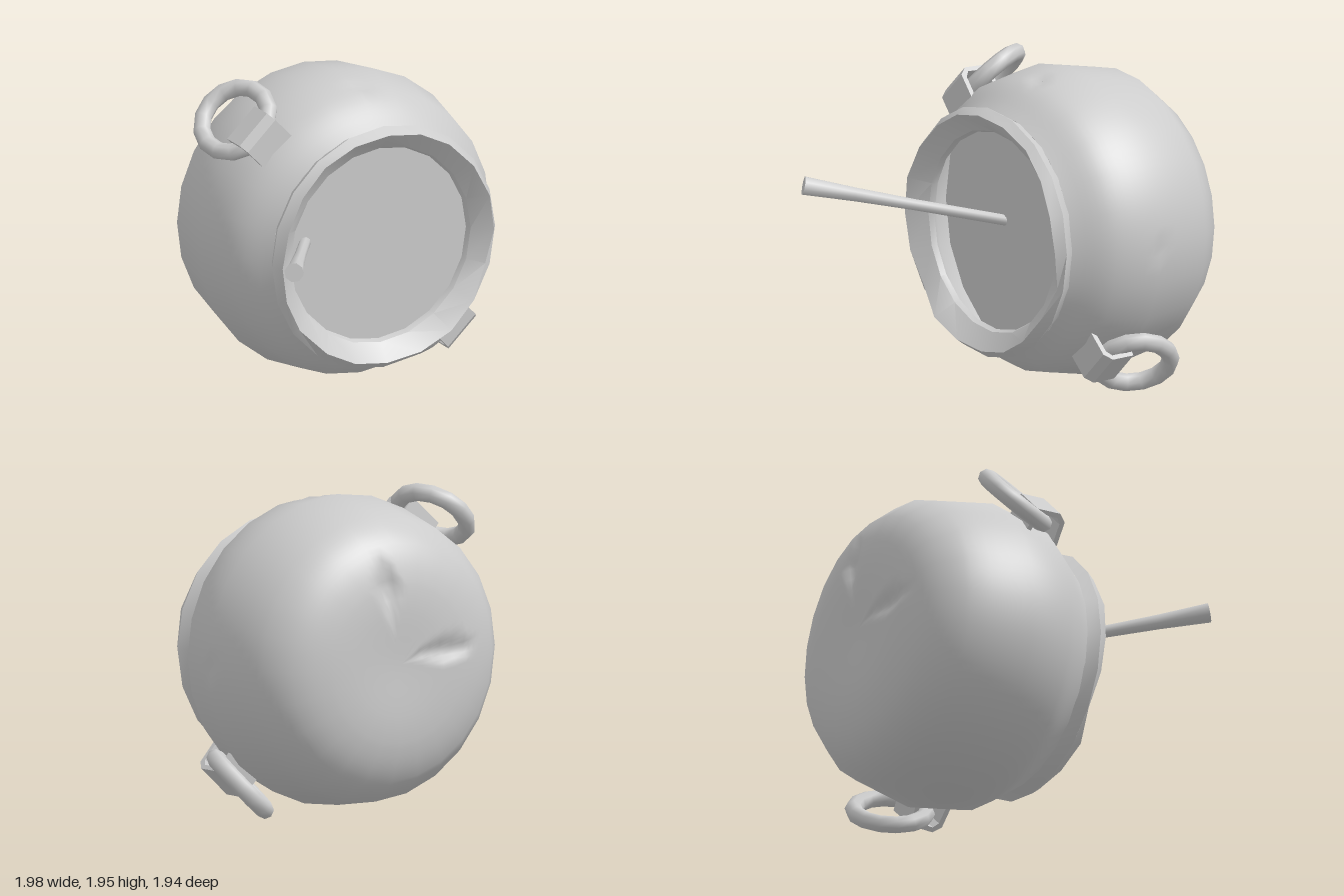
import * as THREE from 'three';
import { mergeVertices, toCreasedNormals } from 'three/addons/utils/BufferGeometryUtils.js';

const grey = new THREE.MeshStandardMaterial({ color: 0xcccccc });
const V2 = (x, y) => new THREE.Vector2(x, y);
const V3 = (x, y, z) => new THREE.Vector3(x, y, z);

function addMesh(parent, name, geometry, material = grey) {
  const mesh = new THREE.Mesh(geometry, material);
  mesh.name = name;
  parent.add(mesh);
  return mesh;
}

// Move every vertex of a geometry by a rule
function deform(geometry, rule) {
  const pos = geometry.attributes.position, p = V3(0, 0, 0);
  for (let i = 0; i < pos.count; i++) {
    rule(p.fromBufferAttribute(pos, i));
    pos.setXYZ(i, p.x, p.y, p.z);
  }
  return geometry;
}

// Lathe about the z axis: points are (radius, z)
const latheZ = (points, sides) => new THREE.LatheGeometry(points, sides).rotateX(Math.PI / 2);

// Diamond dents: centre, two half-axes, and the push direction with its depth
const dents = [
  { c: V3(0.04, 0.91, -0.07), a: V3(0.08, 0, 0), b: V3(0, 0, 0.11), push: V3(0, -0.035, 0) },
  { c: V3(0.95, -0.03, -0.3), a: V3(0, 0.05, 0), b: V3(0, 0, 0.15), push: V3(-0.035, 0, 0) },
  { c: V3(0.08, 0.48, -0.97), a: V3(0.1, 0, 0), b: V3(0, 0.25, 0), push: V3(0, -0.01, 0.06) },
  { c: V3(-0.35, 0.06, -0.97), a: V3(0.3, 0, 0), b: V3(0, 0.11, 0), push: V3(0, 0, 0.05) },
];

function dentPoint(p) {
  for (const { c, a, b, push } of dents) {
    const d = p.clone().sub(c);
    if (d.length() > 0.45) continue;
    const k = 1 - Math.abs(d.dot(a)) / a.lengthSq() - Math.abs(d.dot(b)) / b.lengthSq();
    if (k > 0) p.addScaledVector(push, k);
  }
}

// Faceted outline with 24 sides, shaded with the normals of the smooth form
function bodyGeometry() {
  const knots = [[0, -0.97], [0.485, -0.97], [0.735, -0.88], [0.88, -0.7],
    [0.955, -0.3], [0.9, 0], [0.735, 0.22]].map(([r, z]) => V3(r, z, 0));
  const curve = new THREE.CatmullRomCurve3(knots);
  const straight = [], smooth = [], sub = 6, n = knots.length - 1;
  for (let i = 0; i <= n * sub; i++) {
    const k = Math.min(Math.floor(i / sub), n - 1);
    const p = knots[k].clone().lerp(knots[k + 1], i / sub - k);
    const q = curve.getPoint(i / (n * sub));
    straight.push(V2(p.x, p.y));
    smooth.push(V2(Math.max(0, q.x), q.y));
  }
  const make = (points) => {
    const g = latheZ(points, 96);
    g.deleteAttribute('uv');
    g.deleteAttribute('normal');
    return mergeVertices(g);
  };
  const shading = deform(make(smooth), dentPoint);
  shading.computeVertexNormals();
  const step = Math.PI / 12;
  const body = deform(make(straight), (p) => {
    const a = Math.atan2(p.y, p.x);
    const off = a - Math.floor(a / step) * step - step / 2;
    const k = Math.cos(step / 2) / Math.cos(off);
    p.x *= k;
    p.y *= k;
    dentPoint(p);
  });
  if (shading.attributes.position.count === body.attributes.position.count) {
    body.setAttribute('normal', shading.attributes.normal);
  } else body.computeVertexNormals();
  return body;
}

// Flared lip with an inward bevel, a wavy front edge and two chips
function rimGeometry() {
  const profile = [[0.735, 0.215], [0.775, 0.29], [0.735, 0.35], [0.625, 0.255],
    [0.612, 0.22], [0.8, 0.06], [0.9, -0.1]].map(([r, z]) => V2(r, z));
  const g = deform(latheZ(profile, 20), (p) => {
    if (p.z < 0.33) return;
    const a = Math.atan2(p.y, p.x);
    p.z += 0.012 * Math.sin(a * 5);
    for (const chip of [-0.42, -2.65]) {
      if (Math.abs(a - chip) < 0.17) p.z -= 0.035;
    }
  });
  return toCreasedNormals(g, 0.45);
}

// Bent strap: a thin staple section in (z, radius), extruded sideways
function strapGeometry() {
  const shape = new THREE.Shape([
    V2(0.03, 0.84), V2(0.02, 1.02), V2(-0.03, 1.065), V2(-0.19, 1.06), V2(-0.21, 0.9),
    V2(-0.18, 0.9), V2(-0.165, 1.03), V2(-0.04, 1.035), V2(-0.01, 1.0), V2(0, 0.84),
  ]);
  const g = new THREE.ExtrudeGeometry(shape, { depth: 0.26, bevelEnabled: false });
  g.translate(0, 0, -0.13);
  return g.applyMatrix4(new THREE.Matrix4().makeBasis(V3(0, 0, 1), V3(1, 0, 0), V3(0, 1, 0)));
}

export function createModel() {
  const model = new THREE.Group();
  model.name = 'cauldron';

  // Pot lying on its side with the mouth to the front
  const pot = new THREE.Group();
  pot.name = 'pot';
  pot.position.set(0.04, 1, 0);
  model.add(pot);
  addMesh(pot, 'body', bodyGeometry());
  addMesh(pot, 'rim', rimGeometry());
  addMesh(pot, 'contents', new THREE.CircleGeometry(0.9, 24)).position.z = -0.09;

  // Two ring handles on opposite sides
  const ring = new THREE.TorusGeometry(0.22, 0.055, 8, 14).rotateY(Math.PI / 2 - 0.35);
  const strap = strapGeometry();
  for (const angle of [133, -47]) {
    const handle = new THREE.Group();
    handle.name = 'handle';
    handle.rotation.z = THREE.MathUtils.degToRad(angle);
    addMesh(handle, 'handleRing', ring).position.set(1.04, 0, -0.285);
    addMesh(handle, 'handleStrap', strap);
    pot.add(handle);
  }

  // Stirring stick, thicker at the outer end
  const foot = V3(-0.28, 0.96, -0.11), tip = V3(-0.945, 1.205, 0.935);
  const axis = tip.clone().sub(foot), len = axis.length();
  const stickProfile = [V2(0, 0), V2(0.035, 0), V2(0.036, len * 0.45),
    V2(0.045, len * 0.75), V2(0.06, len), V2(0, len)];
  const stick = addMesh(model, 'stick',
    toCreasedNormals(new THREE.LatheGeometry(stickProfile, 8), 0.9));
  stick.position.copy(foot);
  stick.quaternion.setFromUnitVectors(V3(0, 1, 0), axis.normalize());

  return model;
}
